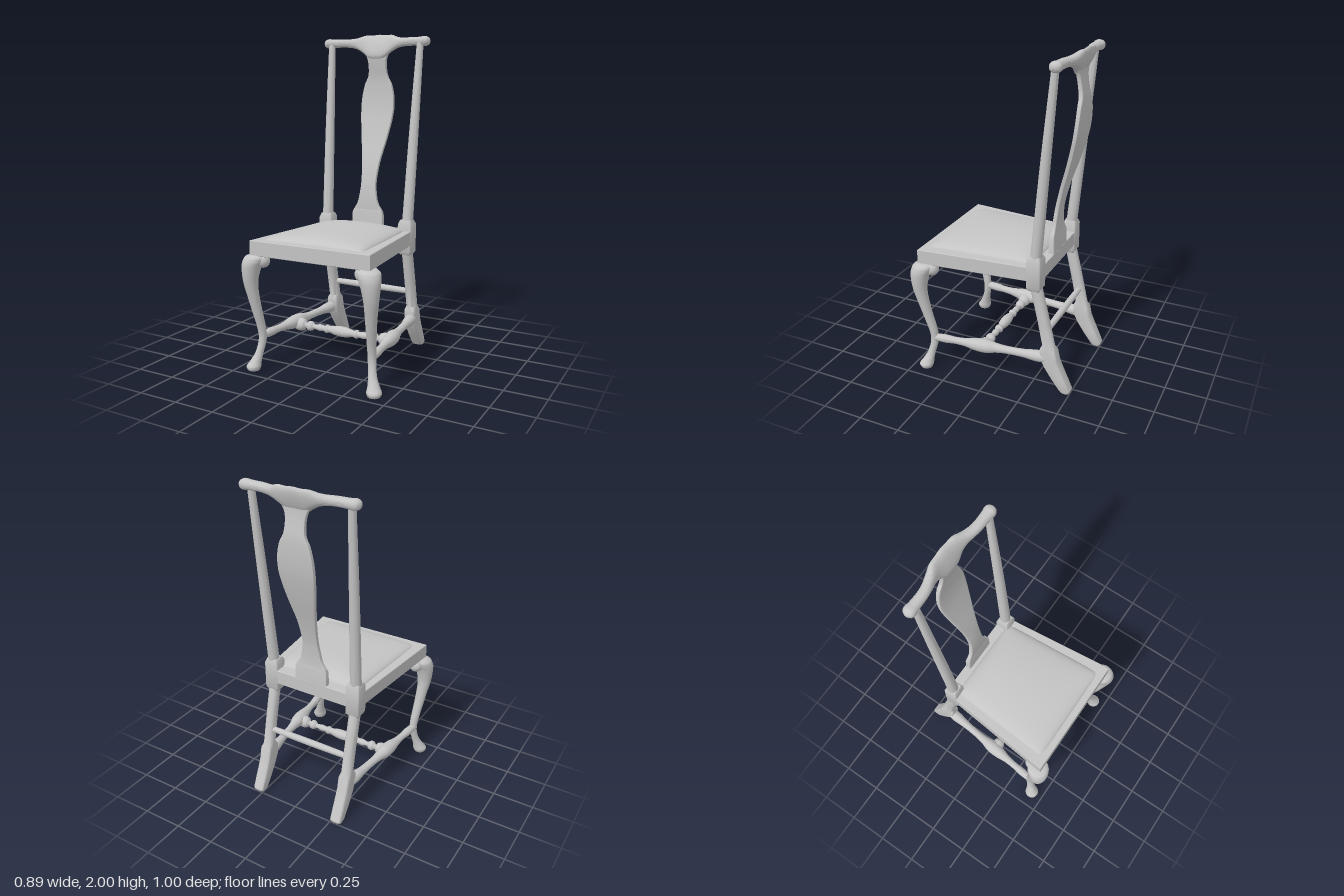
import * as THREE from 'three';
import { mergeVertices, toCreasedNormals } from 'three/addons/utils/BufferGeometryUtils.js';

const wood = new THREE.MeshStandardMaterial({ color: 0xc4c4c4 });
wood.name = 'pale grey';

function add(parent, name, geometry) {
  const mesh = new THREE.Mesh(geometry, wood);
  mesh.name = name;
  parent.add(mesh);
  return mesh;
}

// Smoothly interpolated rows; the first entry of each row is the parameter
function refine(rows, steps) {
  const out = [];
  const slope = (i, k) => {
    const a = rows[Math.max(i - 1, 0)], b = rows[Math.min(i + 1, rows.length - 1)];
    return (b[k] - a[k]) / (b[0] - a[0]);
  };
  for (let i = 0; i < rows.length - 1; i++) {
    const a = rows[i], b = rows[i + 1], d = b[0] - a[0];
    for (let j = 0; j < steps; j++) {
      const s = j / steps, s2 = s * s, s3 = s2 * s;
      out.push(a.map((v, k) => k === 0 ? v + d * s
        : v * (2 * s3 - 3 * s2 + 1) + b[k] * (3 * s2 - 2 * s3)
        + d * (slope(i, k) * (s3 - 2 * s2 + s) + slope(i + 1, k) * (s3 - s2))));
    }
  }
  out.push(rows[rows.length - 1]);
  return out;
}

// Loft of superellipse sections [t, u, v, ru, rv, power]:
// along y (u = z, v = x) or along x (u = y, v = z), with t increasing
function loft(axis, rows, { steps = 4, n = 24, crease = 0.7, lean = () => 0 } = {}) {
  const pos = [], idx = [];
  const put = (t, u, v) => (axis === 'y' ? pos.push(v, t, u) : pos.push(t, u, v + lean(t, u)));
  const sections = steps > 1 ? refine(rows, steps) : rows;
  sections.forEach(([t, u, v, ru, rv, p]) => {
    for (let j = 0; j < n; j++) {
      const a = (j / n) * Math.PI * 2, c = Math.cos(a), s = Math.sin(a);
      put(t, u + ru * Math.sign(c) * Math.abs(c) ** (2 / p), v + rv * Math.sign(s) * Math.abs(s) ** (2 / p));
    }
  });
  const last = sections.length - 1;
  for (let i = 0; i < last; i++) {
    for (let j = 0; j < n; j++) {
      const a = i * n + j, b = i * n + (j + 1) % n;
      idx.push(a, b, b + n, a, b + n, a + n);
    }
  }
  [0, last].forEach((i) => {
    const centre = pos.length / 3;
    put(sections[i][0], sections[i][1], sections[i][2]);
    for (let j = 0; j < n; j++) {
      const a = i * n + j, b = i * n + (j + 1) % n;
      if (i) idx.push(centre, a, b); else idx.push(centre, b, a);
    }
  });
  const g = new THREE.BufferGeometry();
  g.setAttribute('position', new THREE.Float32BufferAttribute(pos, 3));
  g.setIndex(idx);
  return toCreasedNormals(g, crease);
}

// Lathe-turned bar from a to b, profile of [fraction, radius]
function turned(parent, name, a, b, profile) {
  const from = new THREE.Vector3(...a), dir = new THREE.Vector3(...b).sub(from);
  const pts = refine(profile, 4).map(([t, r]) => new THREE.Vector2(r, t * dir.length()));
  const mesh = add(parent, name, new THREE.LatheGeometry(pts, 20));
  mesh.position.copy(from);
  mesh.quaternion.setFromUnitVectors(new THREE.Vector3(0, 1, 0), dir.normalize());
}

// Soft pad with crowned top and rolled edges
function cushionGeometry() {
  const g = new THREE.PlaneGeometry(2, 2, 36, 36).rotateX(-Math.PI / 2);
  const p = g.attributes.position;
  for (let i = 0; i < p.count; i++) {
    const u = Math.sin(p.getX(i) * Math.PI / 2), v = Math.sin(p.getZ(i) * Math.PI / 2);
    const edge = Math.sqrt(Math.max(0, (1 - u ** 10) * (1 - v ** 10)));
    const crown = (1 - u * u) * (1 - v ** 4) * (1 - 0.3 * v);
    p.setXYZ(i, u * (0.305 + 0.022 * v) * (1 - 0.015 * v ** 6), 0.792 + 0.027 * edge + 0.032 * crown,
      0.085 + v * 0.33 * (1 - 0.015 * u ** 6));
  }
  g.deleteAttribute('uv');
  g.deleteAttribute('normal');
  const merged = mergeVertices(g);
  merged.computeVertexNormals();
  return merged;
}

export function createModel() {
  const chair = new THREE.Group();
  chair.name = 'chair';

  // Seat frame and cushion
  const outline = new THREE.Shape([[-0.388, -0.452], [0.388, -0.452], [0.313, 0.302], [-0.313, 0.302]]
    .map(([x, y]) => new THREE.Vector2(x, y)));
  const frame = new THREE.ExtrudeGeometry(outline,
    { depth: 0.084, bevelEnabled: true, bevelSize: 0.003, bevelThickness: 0.003, bevelSegments: 1 });
  add(chair, 'seatFrame', frame.rotateX(-Math.PI / 2).translate(0, 0.711, 0));
  add(chair, 'seatCushion', cushionGeometry());

  for (const s of [1, -1]) {
    const side = new THREE.Group();
    side.name = s > 0 ? 'leftSide' : 'rightSide';
    chair.add(side);

    // Cabriole front leg: [y, z, x, radius]
    const leg = [
      [0, 0.42, 0.403, 0.036], [0.02, 0.42, 0.403, 0.044], [0.05, 0.41, 0.395, 0.035],
      [0.1, 0.393, 0.38, 0.025], [0.18, 0.375, 0.367, 0.024], [0.25, 0.38, 0.368, 0.026],
      [0.35, 0.405, 0.377, 0.03], [0.45, 0.428, 0.387, 0.035], [0.55, 0.445, 0.395, 0.044],
      [0.64, 0.443, 0.388, 0.059], [0.68, 0.432, 0.376, 0.066], [0.7, 0.425, 0.37, 0.062], [0.712, 0.42, 0.365, 0.045],
    ];
    add(side, 'frontLeg', loft('y', leg.map(([y, z, x, r]) => [y, z, s * x, r, r, 2])));

    // Knee brackets
    for (const [x, z] of [[0.325, 0.415], [0.36, 0.375]]) {
      const ear = add(side, 'kneeBracket', new THREE.SphereGeometry(0.042, 16, 12));
      ear.position.set(s * x, 0.677, z);
    }

    // Raked back leg with squared foot: [y, z, half depth, half width, power]
    const back = [
      [0, -0.47, 0.026, 0.032, 4], [0.015, -0.467, 0.034, 0.037, 5], [0.08, -0.428, 0.044, 0.037, 6],
      [0.15, -0.388, 0.052, 0.037, 6], [0.2, -0.365, 0.054, 0.037, 6], [0.265, -0.355, 0.05, 0.037, 6],
      [0.29, -0.354, 0.039, 0.033, 2.2], [0.45, -0.32, 0.037, 0.033, 2.2], [0.67, -0.268, 0.036, 0.033, 2.2],
    ];
    add(side, 'backLeg', loft('y', back.map(([y, z, d, w, p]) => [y, z, s * 0.283, d, w, p]), { steps: 1 }));

    // Squared joint block and tapering round post
    const block = [[0.645, 0.032, 0.033], [0.665, 0.044, 0.045], [0.835, 0.044, 0.045], [0.862, 0.033, 0.034]];
    add(side, 'jointBlock', loft('y', block.map(([y, d, w]) => [y, -0.264, s * 0.281, d, w, 12]), { steps: 1 }));
    add(side, 'backPost', loft('y', [
      [0.84, -0.266, s * 0.284, 0.034, 0.034, 2], [1.4, -0.316, s * 0.296, 0.029, 0.029, 2],
      [1.94, -0.368, s * 0.307, 0.021, 0.021, 2]]));

    // Side stretcher
    turned(side, 'sideStretcher', [s * 0.368, 0.205, 0.37], [s * 0.288, 0.208, -0.35], [
      [0, 0.022], [0.1, 0.026], [0.18, 0.022], [0.28, 0.026], [0.36, 0.037], [0.43, 0.042], [0.49, 0.04],
      [0.55, 0.03], [0.64, 0.024], [0.8, 0.026], [0.88, 0.033], [0.94, 0.035], [1, 0.03]]);
  }

  // Cross stretcher, mirrored turning
  const half = [[0, 0.03], [0.05, 0.04], [0.1, 0.034], [0.125, 0.016], [0.155, 0.03], [0.185, 0.028],
    [0.21, 0.015], [0.27, 0.021], [0.32, 0.018], [0.345, 0.027], [0.375, 0.02], [0.44, 0.029]];
  turned(chair, 'crossStretcher', [-0.335, 0.193, 0.06], [0.335, 0.193, 0.06],
    [...half, [0.5, 0.032], ...half.map(([t, r]) => [1 - t, r]).reverse()]);
  turned(chair, 'backStretcher', [-0.28, 0.387, -0.338], [0.28, 0.387, -0.338], [[0, 0.018], [0.5, 0.021], [1, 0.018]]);

  // Vase-shaped bent splat: [y, z, half width]
  const splat = [
    [0.9, -0.285, 0.097], [0.94, -0.284, 0.072], [0.99, -0.286, 0.059], [1.07, -0.295, 0.05],
    [1.2, -0.325, 0.06], [1.35, -0.37, 0.088], [1.5, -0.407, 0.111], [1.6, -0.42, 0.111],
    [1.69, -0.423, 0.092], [1.74, -0.42, 0.067], [1.8, -0.41, 0.06], [1.85, -0.403, 0.066],
    [1.89, -0.401, 0.088], [1.925, -0.402, 0.14],
  ];
  add(chair, 'splat', loft('y', splat.map(([y, z, w]) => [y, z, 0, 0.013, w, 12])));
  add(chair, 'splatShoe', loft('y', [[0.78, -0.285, 0, 0.02, 0.108, 12], [0.88, -0.285, 0, 0.017, 0.105, 12],
    [0.905, -0.285, 0, 0.013, 0.095, 12]], { steps: 1 }));

  // Crest rail with raised, backswept centre: [x, bottom, top, z, half depth]
  const crest = [
    [0, 1.85, 1.999, -0.413, 0.025], [0.05, 1.855, 1.995, -0.413, 0.025], [0.085, 1.878, 1.996, -0.411, 0.026],
    [0.105, 1.892, 1.992, -0.408, 0.027], [0.14, 1.91, 1.98, -0.4, 0.028], [0.18, 1.919, 1.974, -0.389, 0.029],
    [0.23, 1.922, 1.974, -0.381, 0.029], [0.3, 1.921, 1.975, -0.38, 0.031], [0.335, 1.918, 1.978, -0.38, 0.035],
    [0.355, 1.925, 1.971, -0.38, 0.027], [0.365, 1.938, 1.958, -0.38, 0.01],
  ];
  const rail = [...crest.slice(1).reverse().map(([x, ...r]) => [-x, ...r]), ...crest];
  add(chair, 'crestRail', loft('x', rail.map(([x, b, t, z, d]) => [x, (b + t) / 2, z, (t - b) / 2, d, 2.3]),
    { lean: (x, y) => -0.35 * (y - 1.94) * Math.max(0, 1 - (x / 0.2) ** 2) }));

  return chair;
}
